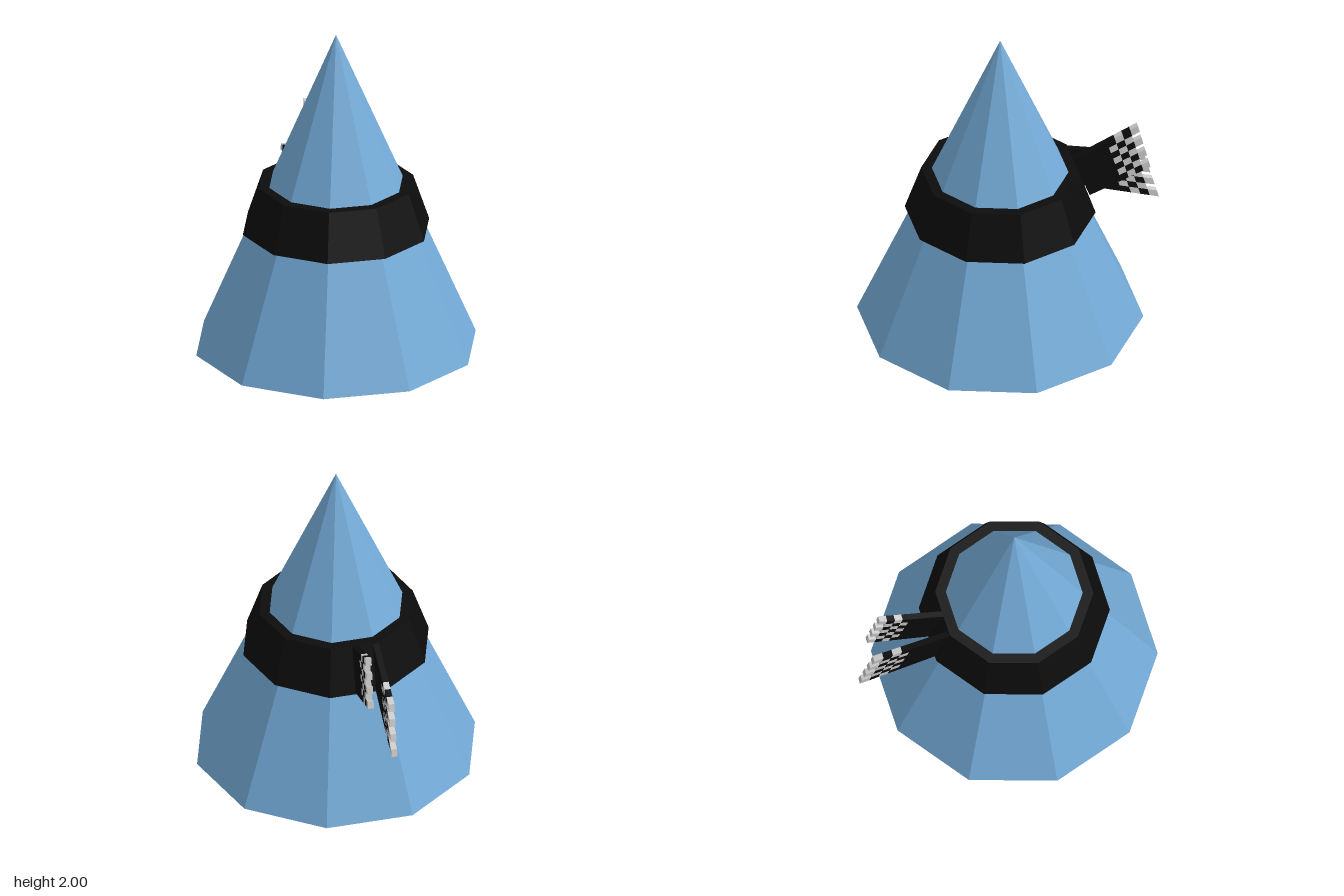
import * as THREE from 'three';

const paint = (color) => new THREE.MeshStandardMaterial({ color, flatShading: true });
const blue = paint(0x74abd8);
const black = paint(0x0c0c0c);
const white = paint(0xcccccc);

const CENTRE_X = 0.033;
const SIDES = 10;

function addMesh(parent, name, geometry, material) {
  const mesh = new THREE.Mesh(geometry, material);
  mesh.name = name;
  parent.add(mesh);
  return mesh;
}

// Slab filling part of a sheared cloth panel: s runs root to tip, t runs bottom to top
function panelPiece(tail, s0, s1, t0, t1) {
  const thickness = 0.036;
  const normal = new THREE.Vector3(0.62, 0, -0.78);
  const geometry = new THREE.BoxGeometry(1, 1, 1);
  const pos = geometry.attributes.position;
  const p = new THREE.Vector3();
  for (let i = 0; i < pos.count; i++) {
    const s = pos.getX(i) > 0 ? s1 : s0;
    const t = pos.getY(i) > 0 ? t1 : t0;
    const side = pos.getZ(i) * thickness;
    const [x, y] = [0, 1].map((k) => THREE.MathUtils.lerp(
      THREE.MathUtils.lerp(tail.rootLow[k], tail.tipLow[k], s),
      THREE.MathUtils.lerp(tail.rootHigh[k], tail.tipHigh[k], s), t));
    p.set(x, y, tail.zAtZero + 0.8 * x).addScaledVector(normal, side);
    pos.setXYZ(i, p.x, p.y, p.z);
  }
  geometry.computeVertexNormals();
  return geometry;
}

// Sash tail: plain root, chequered end and a fringe of spaced tabs
function buildTail(tail) {
  const group = new THREE.Group();
  group.name = tail.name;
  const rows = 7, columns = 4, start = 0.52;
  const step = (1 - start) / columns;
  addMesh(group, 'tailCloth', panelPiece(tail, 0, start, 0, 1), black);
  for (let c = 0; c < columns; c++) {
    for (let r = 0; r < rows; r++) {
      const light = (c + r) % 2 === 1;
      if (c === columns - 1 && !light) continue;
      const piece = panelPiece(tail, start + c * step, start + (c + 1) * step, r / rows, (r + 1) / rows);
      addMesh(group, c === columns - 1 ? 'fringeTab' : 'chequerSquare', piece, light ? white : black);
    }
  }
  return group;
}

export function createModel() {
  const model = new THREE.Group();
  model.name = 'coneWithSash';

  // Ten-sided body
  addMesh(model, 'coneBody', new THREE.ConeGeometry(0.855, 2, SIDES), blue)
    .position.set(CENTRE_X, 1, 0);

  // Tapered belt around the body
  addMesh(model, 'sashBand', new THREE.CylinderGeometry(0.472, 0.57, 0.29, SIDES), black)
    .position.set(CENTRE_X, 0.9, 0);

  // Two tails at the back right; corners are [x, y]
  model.add(buildTail({
    name: 'lowerTail', zAtZero: 0.167,
    rootLow: [-0.47, 0.757], rootHigh: [-0.4, 1.04],
    tipLow: [-0.84, 0.6], tipHigh: [-0.77, 0.925],
  }));
  model.add(buildTail({
    name: 'upperTail', zAtZero: 0.005,
    rootLow: [-0.41, 0.77], rootHigh: [-0.33, 1.045],
    tipLow: [-0.7, 0.92], tipHigh: [-0.64, 1.235],
  }));

  return model;
}
